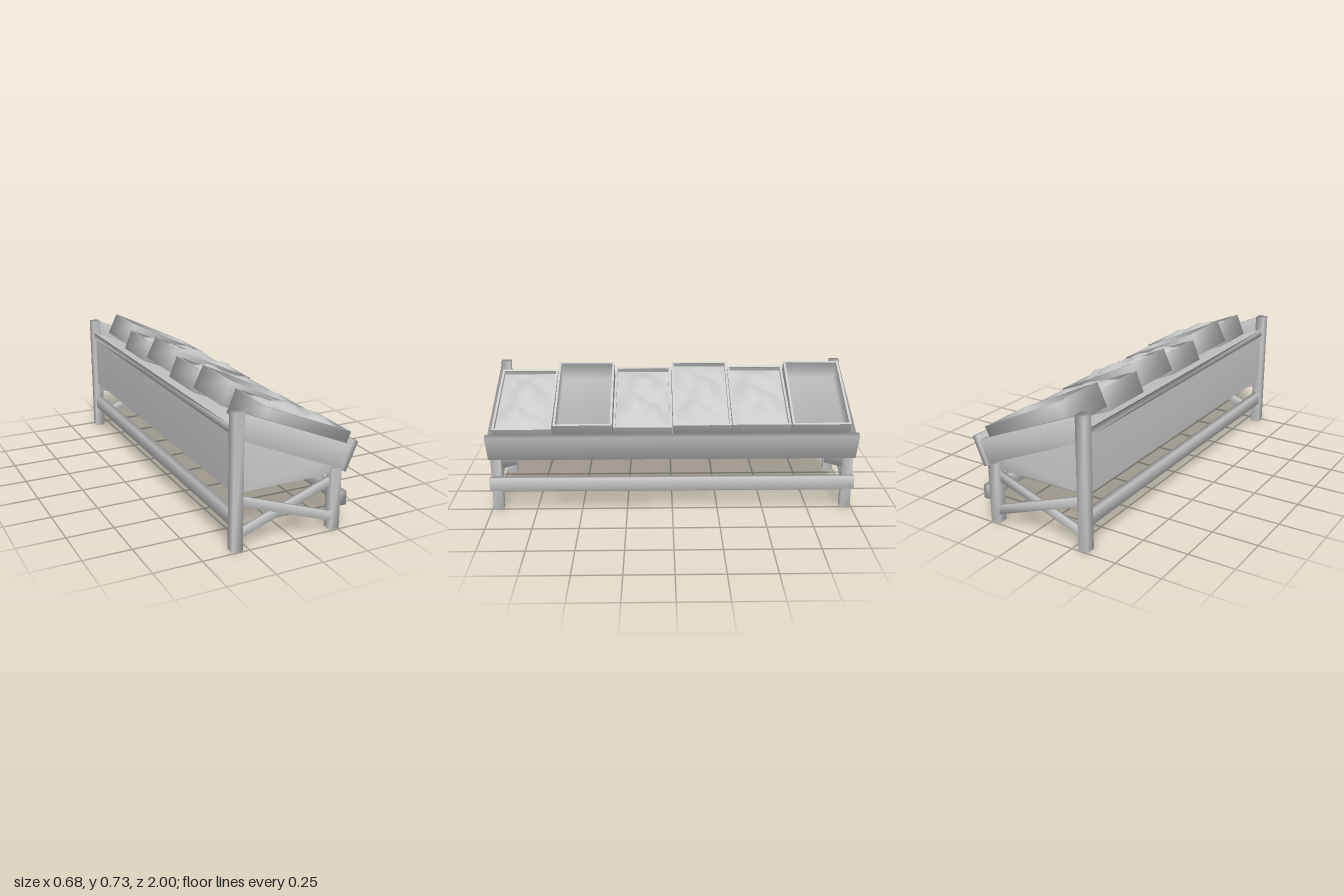
import * as THREE from 'three';
import { mergeVertices } from 'three/addons/utils/BufferGeometryUtils.js';

const grey = new THREE.MeshStandardMaterial({ color: 0xcccccc });
const twoSided = new THREE.MeshStandardMaterial({ color: 0xcccccc, side: THREE.DoubleSide });

function add(parent, name, geo, material) {
  const mesh = new THREE.Mesh(geo, material);
  mesh.name = name;
  parent.add(mesh);
}

// Shares corners so that shading runs softly round the timber
function addSoft(parent, name, geo) {
  geo.deleteAttribute('normal');
  geo.deleteAttribute('uv');
  const soft = mergeVertices(geo);
  soft.computeVertexNormals();
  add(parent, name, soft, grey);
}

// Box given by its extents on each axis
function box(parent, name, x0, x1, y0, y1, z0, z1) {
  const geo = new THREE.BoxGeometry(x1 - x0, y1 - y0, z1 - z0);
  geo.translate((x0 + x1) / 2, (y0 + y1) / 2, (z0 + z1) / 2);
  addSoft(parent, name, geo);
}

// Flat board: outline in x and y, given thickness from z0 to z1
function board(parent, name, points, z0, z1) {
  const shape = new THREE.Shape(points.map(([x, y]) => new THREE.Vector2(x, y)));
  const geo = new THREE.ExtrudeGeometry(shape, { depth: z1 - z0, bevelEnabled: false });
  geo.translate(0, 0, z0);
  addSoft(parent, name, geo);
}

// Open tray: four walls and a floor, shaded softly round its corners
function tray(parent, name, x0, x1, floor, rim, half) {
  const solid = new THREE.BoxGeometry(x1 - x0, rim - floor, 2 * half).toNonIndexed();
  const all = solid.attributes.position.array;
  // The third side of a box is its top: six corners from number 12
  const kept = [...all.slice(0, 36), ...all.slice(54)];
  const normals = [];
  for (let i = 0; i < kept.length; i += 3) {
    const n = new THREE.Vector3(Math.sign(kept[i]), kept[i + 1] < 0 ? -1 : 0, Math.sign(kept[i + 2]));
    normals.push(...n.normalize().toArray());
  }
  const geo = new THREE.BufferGeometry();
  geo.setAttribute('position', new THREE.Float32BufferAttribute(kept, 3));
  geo.setAttribute('normal', new THREE.Float32BufferAttribute(normals, 3));
  geo.translate((x0 + x1) / 2, (floor + rim) / 2, 0);
  add(parent, name, geo, twoSided);
}

// Lumpy heap filling a crate, just below its rim at the edges
function heap(parent, x0, x1, width, seed) {
  const length = x1 - x0;
  const geo = new THREE.PlaneGeometry(length, width, 16, 11);
  geo.rotateX(-Math.PI / 2);
  const p = geo.attributes.position;
  for (let i = 0; i < p.count; i++) {
    const u = p.getX(i), w = p.getZ(i);
    const edge = Math.min(1, 10 * Math.min(length / 2 - Math.abs(u), width / 2 - Math.abs(w)));
    const lumps = Math.abs(Math.sin(u * 13 + seed * 2.1 + w * 9)) * 0.5
      + Math.abs(Math.sin(w * 15 + seed * 1.3 - u * 7)) * 0.5;
    p.setY(i, -0.025 + Math.max(0, edge) * 0.053 * lumps);
  }
  geo.translate((x0 + x1) / 2, 0, 0);
  geo.computeVertexNormals();
  add(parent, 'produce', geo, twoSided);
}

// Crate hung from the back corner of its rim, tilted by the drop of its front
function crate(z, back, rim, drop, height, filled, seed) {
  const g = new THREE.Group();
  g.name = 'crate';
  g.position.set(back, rim, z);
  const length = 0.512, half = 0.158, t = 0.012;
  g.rotation.z = -Math.asin(drop / length);
  tray(g, 'crateOutside', 0, length, -height, 0, half);
  tray(g, 'crateInside', t, length - t, t - height, 0, half - t);
  box(g, 'crateBackRim', 0, t, -0.002, 0, -half, half);
  box(g, 'crateFrontRim', length - t, length, -0.002, 0, -half, half);
  box(g, 'crateSideRim', t, length - t, -0.002, 0, half - t, half);
  box(g, 'crateSideRim', t, length - t, -0.002, 0, -half, t - half);
  if (filled) heap(g, t, length - t, 2 * (half - t), seed);
  return g;
}

export function createModel() {
  const model = new THREE.Group();
  model.name = 'produceStand';

  // Each end: legs, crossed braces and end panel
  for (const s of [-1, 1]) {
    const end = new THREE.Group();
    end.name = 'endFrame';
    const span = (a, b) => (s > 0 ? [a, b] : [-b, -a]);
    box(end, 'backLeg', -0.34, -0.287, 0, 0.7, ...span(0.944, 0.998));
    box(end, 'frontLeg', 0.207, 0.26, 0, 0.325, ...span(0.938, 0.992));
    board(end, 'fallingBrace', [[-0.287, 0.23], [0.207, 0.05], [0.207, 0.1], [-0.287, 0.28]], ...span(0.97, 0.99));
    board(end, 'risingBrace', [[-0.287, 0.05], [0.207, 0.225], [0.207, 0.275], [-0.287, 0.1]], ...span(0.945, 0.965));
    board(end, 'endPanel', [[-0.31, 0.29], [0.24, 0.29], [0.24, 0.37], [-0.31, 0.58]], ...span(0.95, 0.962));
    model.add(end);
  }

  // Long panels and rails
  box(model, 'backPanel', -0.32, -0.308, 0.29, 0.6, -0.955, 0.955);
  box(model, 'frontPanel', 0.232, 0.244, 0.295, 0.36, -0.955, 0.955);
  box(model, 'underPanel', -0.31, 0.1, 0.38, 0.39, -0.95, 0.95);
  box(model, 'frontRail', 0.26, 0.29, 0.127, 0.2, -1, 1);
  box(model, 'backRail', -0.335, -0.3, 0.127, 0.2, -0.945, 0.945);

  // Sloping top: x runs down the slope, y is square to it
  const top = new THREE.Group();
  top.name = 'slopingTop';
  top.position.set(-0.287, 0.69, 0);
  top.rotation.z = -Math.atan(0.425);
  board(top, 'deck', [[0.002, -0.115], [0.642, -0.115], [0.642, -0.075], [-0.015, -0.075]], -0.962, 0.962);
  box(top, 'frontLip', 0.641, 0.671, -0.133, 0.028, -1, 1);
  const rail = [[0.052, -0.122], [0.641, -0.126], [0.641, 0], [0, 0]];
  board(top, 'endRail', rail, 0.962, 0.994);
  board(top, 'endRail', rail, -0.994, -0.962);

  // Crates: back edge, rim height, drop of the front, depth, filled or empty
  const crates = [
    [0.126, 0.056, -0.004, 0.13, true], [0.092, 0.082, 0.027, 0.13, false],
    [0.1, 0.048, 0, 0.122, true], [0.094, 0.082, 0.027, 0.13, true],
    [0.083, 0.042, -0.006, 0.117, true], [0.092, 0.082, 0.027, 0.13, false],
  ];
  crates.forEach((c, i) => top.add(crate(0.805 - i * 0.322, ...c, i + 1)));
  model.add(top);
  return model;
}
